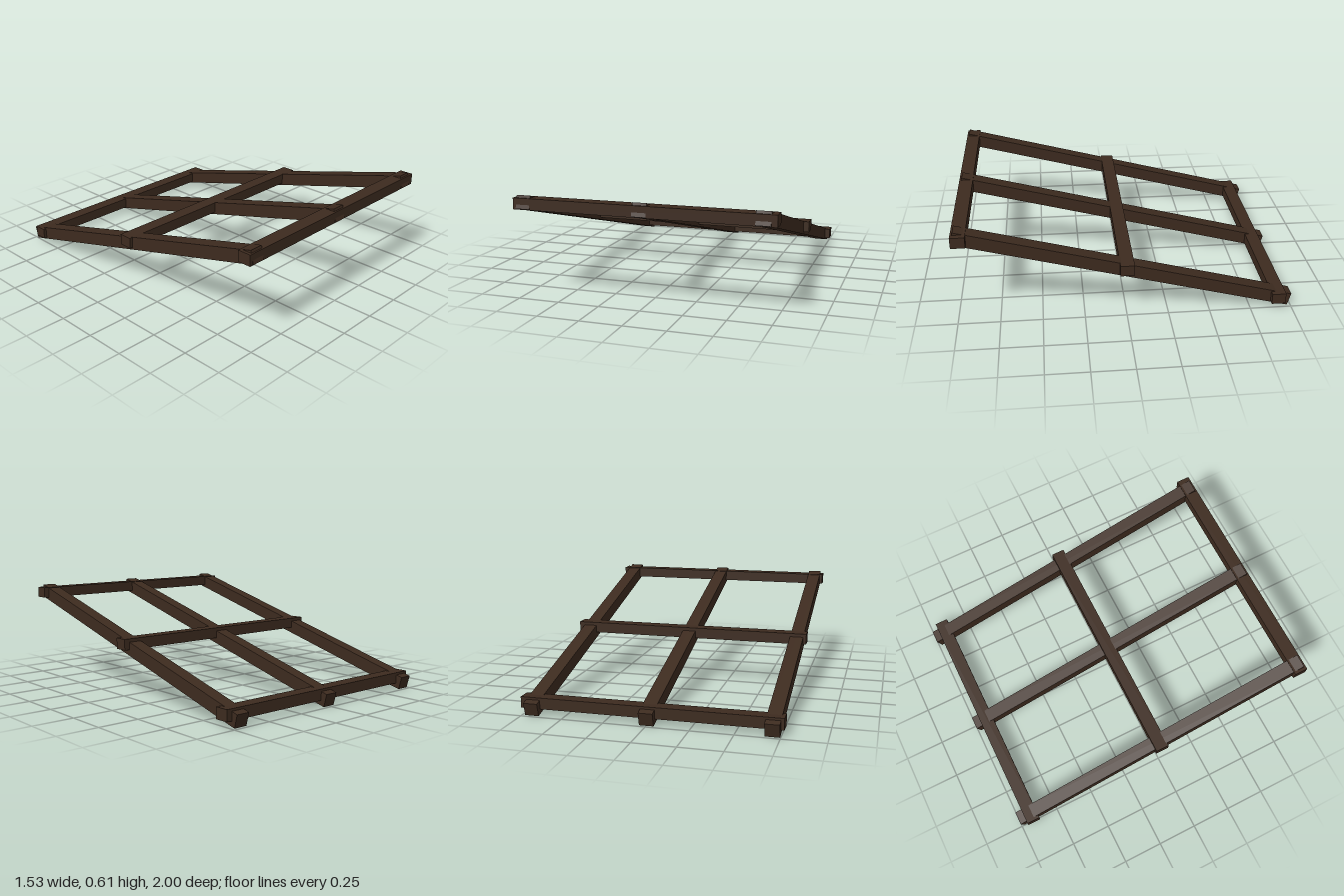
import * as THREE from 'three';

export function createModel() {
  const model = new THREE.Group();
  model.name = 'slopedTimberFrame';
  const wood = new THREE.MeshStandardMaterial({ color: 0x3d2b1f });
  wood.name = 'dark wood';

  function beam(name, size, position, tilt = 0) {
    const mesh = new THREE.Mesh(new THREE.BoxGeometry(...size), wood);
    mesh.name = name;
    mesh.position.set(...position);
    mesh.rotation.x = tilt;
    model.add(mesh);
  }

  // Three rafters, sloping up towards the front
  const slope = THREE.MathUtils.degToRad(-15);
  [['rightRafter', -0.705], ['middleRafter', 0], ['leftRafter', 0.69]].forEach(([name, x]) =>
    beam(name, [0.084, 0.08, 2.05], [x, 0.303, 0], slope));

  // Three level cross beams
  [['frontCrossBeam', 0.558, 0.952], ['middleCrossBeam', 0.32, 0], ['backCrossBeam', 0.068, -0.917]].forEach(([name, y, z]) =>
    beam(name, [1.532, 0.067, 0.084], [0, y, z]));

  return model;
}
